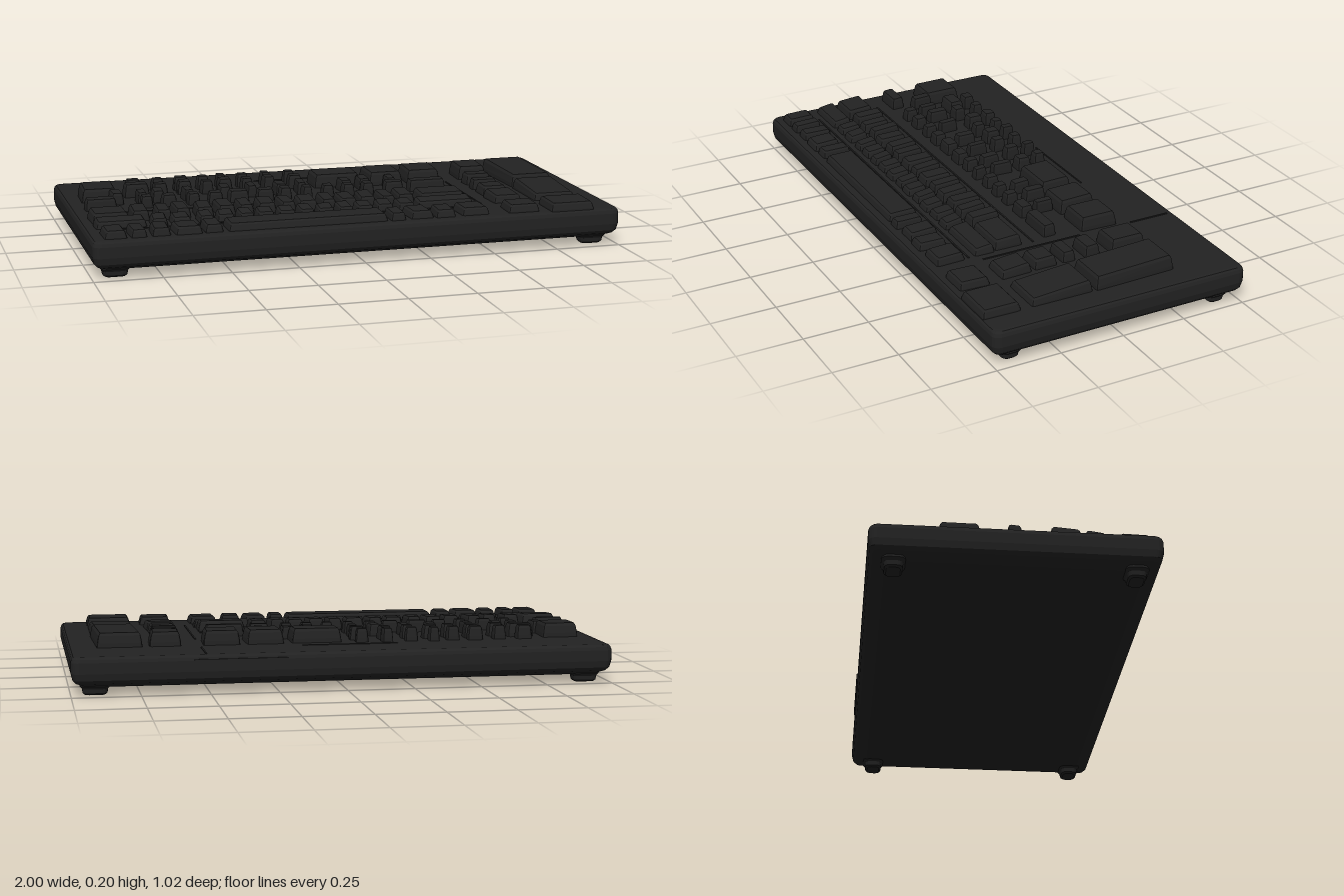
import * as THREE from 'three';

const charcoal = new THREE.MeshStandardMaterial({ color: 0x222222, flatShading: true });
charcoal.name = 'charcoal plastic';

// Stack of rounded rectangles; layers are [y, inset], listed from bottom to top
function loft(w, d, r, layers, steps = 3) {
  const pos = [], idx = [], n = 4 * (steps + 1);
  for (const [y, inset] of layers) {
    const rr = Math.max(r - inset * 0.5, 0.002);
    const hx = w / 2 - inset - rr, hz = d / 2 - inset - rr;
    for (let c = 0; c < 4; c++) {
      const sx = c === 0 || c === 3 ? 1 : -1, sz = c < 2 ? 1 : -1;
      for (let s = 0; s <= steps; s++) {
        const a = (c + s / steps) * Math.PI / 2;
        pos.push(sx * hx + rr * Math.cos(a), y, sz * hz + rr * Math.sin(a));
      }
    }
  }
  const top = (layers.length - 1) * n;
  for (let l = 0; l < layers.length - 1; l++) {
    for (let i = 0; i < n; i++) {
      const a = l * n + i, b = l * n + (i + 1) % n;
      idx.push(a, a + n, b, b, a + n, b + n);
    }
  }
  for (let i = 1; i < n - 1; i++) {
    idx.push(0, i, i + 1);
    idx.push(top, top + i + 1, top + i);
  }
  const g = new THREE.BufferGeometry();
  g.setAttribute('position', new THREE.Float32BufferAttribute(pos, 3));
  g.setIndex(idx);
  g.computeVertexNormals();
  return g;
}

export function createModel() {
  const model = new THREE.Group();
  const add = (parent, name, geometry, x = 0, y = 0, z = 0) => {
    const m = new THREE.Mesh(geometry, charcoal);
    m.name = name;
    m.position.set(x, y, z);
    parent.add(m);
    return m;
  };

  // Case with tapered underside and softened rim
  add(model, 'case', loft(2, 1.02, 0.03, [
    [0.03, 0.06], [0.036, 0.045], [0.047, 0.018], [0.06, 0.006], [0.085, 0],
    [0.125, 0], [0.137, 0.004], [0.143, 0.01], [0.145, 0.022],
  ], 5));

  // Four feet
  for (const sx of [-1, 1]) for (const sz of [-1, 1]) {
    add(model, 'foot', loft(0.11, 0.085, 0.025, [
      [0, 0.018], [0.006, 0.011], [0.022, 0.008], [0.032, 0], [0.04, 0],
    ]), sx * 0.912, 0, sz * 0.42);
  }

  // Seams that divide the key fields
  const seam = (x, z, w, d) => add(model, 'seam', new THREE.BoxGeometry(w, 0.005, d), x, 0.1455, z);
  seam(0.515, -0.4, 0.006, 0.16);
  seam(0.515, 0.1, 0.006, 0.4);
  seam(-0.2, 0.075, 1.36, 0.006);
  seam(-0.2, 0.34, 1.36, 0.006);
  seam(-0.04, -0.325, 0.36, 0.005);

  // Port cover on the back edge
  add(model, 'portCover', new THREE.BoxGeometry(0.34, 0.03, 0.008), 0.39, 0.115, -0.51);

  const keys = new THREE.Group();
  keys.name = 'keys';
  model.add(keys);

  // Tapered key; its top runs from yBack down to yFront
  let count = 0;
  function key(x0, x1, z0, z1, yBack, yFront = yBack, name = 'key') {
    const w = x1 - x0, d = z1 - z0, h = yBack - 0.13;
    const t = Math.min(0.014, w * 0.16, d * 0.16);
    const g = loft(w, d, Math.min(0.01, w * 0.2), [
      [0, 0], [h * 0.45, t * 0.15], [h * 0.85, t * 0.55], [h, t],
    ], 2);
    const p = g.attributes.position, lean = Math.sin(count++ * 2.4) * Math.min(0.06, 0.006 / w);
    for (let i = 0; i < p.count; i++) {
      const f = p.getY(i) / h;
      p.setY(i, p.getY(i) - f * (yBack - yFront) * (p.getZ(i) / d + 0.5));
      p.setX(i, p.getX(i) + lean * p.getZ(i));
    }
    g.computeVertexNormals();
    add(keys, name, g, (x0 + x1) / 2, 0.13, (z0 + z1) / 2);
  }
  // A row given as pairs of left and right edges; jitter staggers the ends
  function row(z0, z1, yBack, yFront, edges, jitter = 0) {
    for (let i = 0; i < edges.length; i += 2) {
      const j = Math.sin(i * 1.7 + z0 * 9) * jitter;
      key(edges[i], edges[i + 1], z0 + j, z1 + j * 0.5, yBack, yFront);
    }
  }

  // Upper field of small keys
  row(-0.29, -0.24, 0.196, 0.196, [-0.75, -0.69, -0.65, -0.6, -0.56, -0.5, -0.47, -0.42,
    -0.39, -0.35, -0.31, -0.26, -0.21, -0.17, -0.12, -0.07], 0.006);
  row(-0.22, -0.16, 0.195, 0.194, [-0.77, -0.67, -0.66, -0.6, -0.56, -0.5, -0.47, -0.42,
    -0.4, -0.34, -0.31, -0.26, -0.22, -0.17, -0.12, -0.06], 0.014);
  row(-0.13, -0.05, 0.19, 0.188, [-0.84, -0.79, -0.74, -0.7, -0.68, -0.63, -0.56, -0.52, -0.42, -0.37,
    -0.31, -0.27, -0.2, -0.15, -0.11, -0.07, 0.06, 0.11, 0.14, 0.19, 0.25, 0.29], 0.012);
  row(-0.03, 0.025, 0.19, 0.187, [-0.95, -0.83, -0.74, -0.69, -0.66, -0.6, -0.56, -0.51, -0.48, -0.42,
    -0.4, -0.32, -0.29, -0.22, -0.2, -0.15, -0.11, -0.07, -0.03, 0.02, 0.05, 0.1, 0.13, 0.18,
    0.22, 0.3, 0.32, 0.47], 0.003);

  // Large keys of the upper field
  key(-0.94, -0.8, -0.27, -0.12, 0.198, 0.194, 'largeKey');
  key(-0.02, 0.17, -0.265, -0.135, 0.198, 0.195, 'largeKey');
  key(0.2, 0.34, -0.27, -0.12, 0.198, 0.195, 'largeKey');
  key(0.36, 0.5, -0.27, -0.12, 0.198, 0.195, 'largeKey');

  // Two middle rows
  row(0.11, 0.228, 0.186, 0.18, [-0.96, -0.82, -0.81, -0.74, -0.72, -0.66, -0.65, -0.59, -0.57, -0.5,
    -0.49, -0.42, -0.41, -0.35, -0.335, -0.26, -0.25, -0.19, -0.18, -0.1, -0.09, -0.03,
    -0.02, 0.05, 0.06, 0.13, 0.14, 0.2, 0.21, 0.28, 0.295, 0.48], 0.008);
  row(0.235, 0.318, 0.178, 0.168, [-0.96, -0.77, -0.755, -0.69, -0.68, -0.605, -0.58, -0.52, -0.51, -0.44,
    -0.43, -0.37, -0.36, -0.29, -0.28, -0.21, -0.2, -0.14, -0.13, -0.06, -0.05, 0.01,
    0.02, 0.09, 0.1, 0.17, 0.18, 0.25, 0.26, 0.485], 0.004);

  // Front row with the space bar
  row(0.36, 0.475, 0.174, 0.172, [-0.955, -0.87, -0.86, -0.8, -0.78, -0.71, -0.7, -0.6, -0.59, -0.52,
    0.105, 0.165, 0.18, 0.27, 0.28, 0.36, 0.38, 0.49], 0.006);
  key(-0.505, 0.095, 0.355, 0.475, 0.174, 0.172, 'spaceBar');

  // Side column
  key(0.58, 0.7, -0.27, -0.13, 0.198, 0.195, 'sideKey');
  key(0.575, 0.68, -0.095, -0.03, 0.188, 0.186, 'sideKey');
  key(0.57, 0.675, 0.005, 0.06, 0.184, 0.182, 'sideKey');
  key(0.57, 0.675, 0.08, 0.175, 0.182, 0.18, 'sideKey');
  key(0.565, 0.68, 0.185, 0.31, 0.18, 0.172, 'sideKey');
  key(0.565, 0.69, 0.36, 0.48, 0.174, 0.174, 'sideKey');

  // Large pads on the far side
  key(0.73, 0.9, -0.27, 0.055, 0.199, 0.192, 'sidePad');
  key(0.73, 0.9, 0.065, 0.31, 0.187, 0.17, 'sidePad');
  key(0.725, 0.9, 0.35, 0.5, 0.176, 0.174, 'sidePad');

  return model;
}
